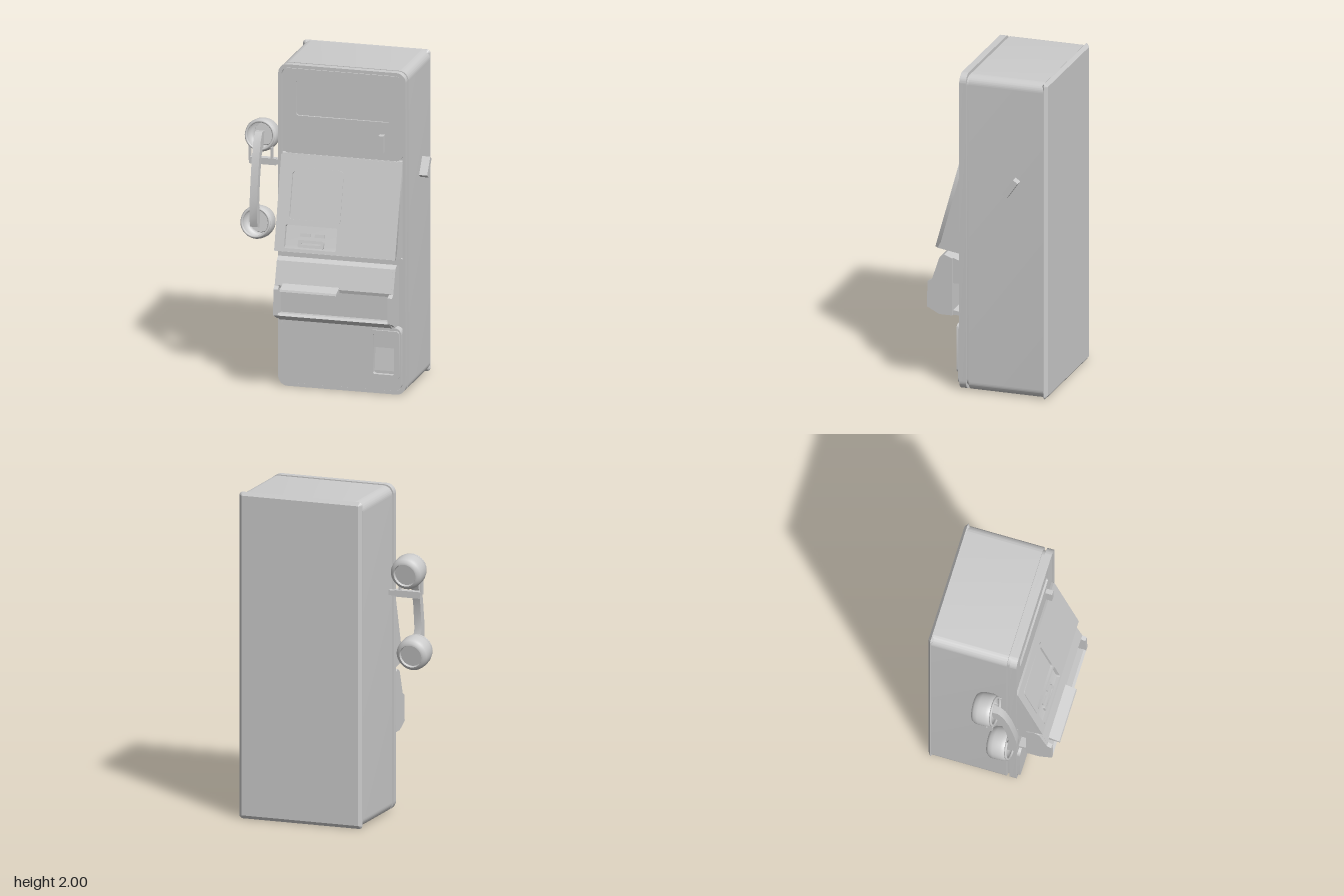
import * as THREE from 'three';
import { toCreasedNormals } from 'three/addons/utils/BufferGeometryUtils.js';

const grey = new THREE.MeshStandardMaterial({ color: 0xcccccc, side: THREE.DoubleSide });

function add(parent, name, geometry, x = 0, y = 0, z = 0) {
  const mesh = new THREE.Mesh(geometry, grey);
  mesh.name = name;
  mesh.position.set(x, y, z);
  parent.add(mesh);
  return mesh;
}

// Box given by its limits on each axis
function box(parent, name, x0, x1, y0, y1, z0, z1) {
  return add(parent, name, new THREE.BoxGeometry(x1 - x0, y1 - y0, z1 - z0),
    (x0 + x1) / 2, (y0 + y1) / 2, (z0 + z1) / 2);
}

function roundedRect(x0, x1, y0, y1, r, Type = THREE.Shape) {
  const s = new Type();
  s.moveTo(x0 + r, y0);
  s.lineTo(x1 - r, y0);
  s.absarc(x1 - r, y0 + r, r, -Math.PI / 2, 0);
  s.lineTo(x1, y1 - r);
  s.absarc(x1 - r, y1 - r, r, 0, Math.PI / 2);
  s.lineTo(x0 + r, y1);
  s.absarc(x0 + r, y1 - r, r, Math.PI / 2, Math.PI);
  s.lineTo(x0, y0 + r);
  s.absarc(x0 + r, y0 + r, r, Math.PI, Math.PI * 1.5);
  return s;
}

// Rounded plate between z0 and z1, with optional rounded holes [x0, x1, y0, y1, r]
function plate(parent, name, rect, z0, z1, holes = []) {
  const shape = roundedRect(...rect);
  for (const h of holes) shape.holes.push(roundedRect(...h, THREE.Path));
  const geo = new THREE.ExtrudeGeometry(shape, { depth: z1 - z0, bevelEnabled: false, curveSegments: 10 });
  geo.translate(0, 0, z0);
  return add(parent, name, toCreasedNormals(geo, 0.6));
}

// Side profile of [z, y] points carried along x
function profile(parent, name, points, x0, x1) {
  const shape = new THREE.Shape(points.map(p => new THREE.Vector2(...p)));
  const geo = new THREE.ExtrudeGeometry(shape, { depth: x1 - x0, bevelEnabled: false });
  geo.rotateY(-Math.PI / 2).translate(x1, 0, 0);
  return add(parent, name, toCreasedNormals(geo, 0.5));
}

function createCabinet(root) {
  const g = new THREE.Group();
  g.name = 'cabinet';
  root.add(g);
  plate(g, 'body', [-0.3, 0.49, 0.004, 1.998, 0.058], -0.382, 0.087);
  plate(g, 'spacer', [-0.285, 0.475, 0.025, 1.98, 0.05], 0.08, 0.11);
  plate(g, 'frontFrame', [-0.3, 0.49, 0.004, 2, 0.058], 0.105, 0.147,
    [[-0.28, 0.47, 0.025, 1.98, 0.045]]);
  // Back plate, chamfered towards the wall
  const back = roundedRect(-0.279, 0.469, 0.023, 1.979, 0.002);
  add(g, 'backPlate', new THREE.ExtrudeGeometry(back,
    { depth: 0.004, bevelSize: 0.021, bevelThickness: 0.016, bevelSegments: 1, curveSegments: 2 }), 0, 0, -0.389);
  // Small angled hook on the left side
  const hook = add(g, 'sideHook', new THREE.BoxGeometry(0.06, 0.12, 0.035), 0.51, 1.33, -0.19);
  hook.rotation.x = -0.6;
}

function createUpperPanel(root) {
  const g = new THREE.Group();
  g.name = 'upperPanel';
  root.add(g);
  plate(g, 'upperFace', [-0.277, 0.467, 1.45, 1.975, 0.04], 0.105, 0.138,
    [[-0.19, 0.39, 1.685, 1.905, 0.015]]);
  plate(g, 'signPanel', [-0.19, 0.39, 1.685, 1.905, 0.015], 0.105, 0.126);
  box(g, 'coinSlot', 0.33, 0.36, 1.505, 1.61, 0.13, 0.18);
}

function createConsole(root) {
  const g = new THREE.Group();
  g.name = 'console';
  root.add(g);
  profile(g, 'wedge', [[0.1, 1.45], [0.125, 1.445], [0.27, 0.92], [0.29, 0.88], [0.1, 0.85]], -0.28, 0.47);
  // Sloping cover with a screen opening and a card-reader recess
  const slope = new THREE.Group();
  slope.name = 'slopingFace';
  slope.position.set(0, 1.165, 0.2275);
  slope.rotation.x = -0.27;
  g.add(slope);
  plate(slope, 'cover', [-0.28, 0.47, -0.29, 0.29, 0.004], -0.03, 0,
    [[-0.21, 0.1, -0.1, 0.2, 0.015], [-0.22, 0.1, -0.27, -0.13, 0.01]]);
  plate(slope, 'screenBezel', [-0.23, 0.115, -0.115, 0.215, 0.03], -0.01, 0.005,
    [[-0.2, 0.09, -0.095, 0.188, 0.015]]);
  plate(slope, 'screen', [-0.215, 0.105, -0.105, 0.2, 0.01], -0.03, -0.01);
  plate(slope, 'cardSlot', [-0.14, 0.02, -0.26, -0.215, 0.01], -0.03, -0.01,
    [[-0.12, 0, -0.243, -0.232, 0.004]]);
  for (const x of [-0.13, -0.04])
    box(slope, 'readerButton', x, x + 0.06, -0.195, -0.175, -0.03, -0.014);
  plate(g, 'middlePanel', [-0.28, 0.47, 0.43, 0.85, 0.01], 0.105, 0.147);
}

function createShelf(root) {
  const g = new THREE.Group();
  g.name = 'shelf';
  root.add(g);
  // Hood above an alcove, closed by a cheek at each end
  profile(g, 'hood', [[0.14, 0.8], [0.2, 0.82], [0.25, 0.84], [0.28, 0.82], [0.328, 0.68], [0.323, 0.66], [0.14, 0.66]], -0.25, 0.45);
  for (const x of [-0.27, 0.438])
    profile(g, 'cheek', [[0.2, 0.82], [0.25, 0.84], [0.28, 0.82], [0.328, 0.675], [0.355, 0.66], [0.36, 0.5],
      [0.32, 0.48], [0.28, 0.46], [0.2, 0.46]], x, x + 0.027);
  box(g, 'alcoveBack', -0.25, 0.45, 0.47, 0.67, 0.2, 0.28);
  profile(g, 'ledge', [[0.14, 0.46], [0.3, 0.46], [0.36, 0.5], [0.345, 0.512], [0.14, 0.48]], -0.25, 0.45);
  profile(g, 'gripLip', [[0.315, 0.695], [0.39, 0.672], [0.395, 0.66], [0.32, 0.66]], -0.22, 0.13);
}

function createLowerPanel(root) {
  const g = new THREE.Group();
  g.name = 'lowerPanel';
  root.add(g);
  plate(g, 'lowerFace', [-0.277, 0.467, 0.03, 0.42, 0.04], 0.105, 0.163,
    [[0.29, 0.43, 0.12, 0.385, 0.01]]);
  // Coin return chute with its flap
  plate(g, 'returnBezel', [0.278, 0.457, 0.102, 0.402, 0.02], 0.155, 0.175,
    [[0.295, 0.425, 0.13, 0.378, 0.01]]);
  box(g, 'returnBack', 0.29, 0.43, 0.12, 0.385, 0.105, 0.115);
  box(g, 'returnHeader', 0.29, 0.43, 0.29, 0.385, 0.11, 0.15);
  const flap = box(g, 'returnFlap', 0.297, 0.423, 0.145, 0.285, 0.125, 0.135);
  flap.rotation.x = -0.12;
}

function createHandset(root) {
  const g = new THREE.Group();
  g.name = 'handset';
  g.position.set(-0.44, 1.25, 0.05);
  g.rotation.x = -0.18;
  root.add(g);
  // Hollow cups, domed at the back and open at the front
  const cupProfile = [[0, -0.055], [0.066, -0.055], [0.07, -0.07], [0.083, -0.067], [0.096, -0.05],
    [0.1, -0.025], [0.1, 0.025], [0.095, 0.045], [0.08, 0.06]].map(p => new THREE.Vector2(...p));
  const cup = toCreasedNormals(new THREE.LatheGeometry(cupProfile, 40).rotateX(Math.PI / 2), 0.7);
  for (const [name, y] of [['earpiece', 0.262], ['mouthpiece', -0.262]]) {
    add(g, name, cup, 0, y, 0);
    add(g, name + 'Rim', new THREE.TorusGeometry(0.085, 0.008, 8, 40), 0, y, 0.055);
  }
  profile(g, 'handle', [[0.04, 0.29], [0.085, 0.285], [0.11, 0.23], [0.125, 0.12], [0.128, 0], [0.125, -0.12],
    [0.11, -0.23], [0.085, -0.285], [0.04, -0.29], [0.04, -0.2], [0.075, -0.14], [0.083, 0], [0.075, 0.14],
    [0.04, 0.2]], -0.023, 0.023);
}

function createCradle(root) {
  const g = new THREE.Group();
  g.name = 'cradle';
  root.add(g);
  box(g, 'cradleArm', -0.35, -0.29, 1.345, 1.375, 0.025, 0.055);
  box(g, 'cradleBar', -0.505, -0.34, 1.34, 1.38, 0.02, 0.06);
  // Prongs holding the earpiece
  for (const x of [-0.51, -0.372])
    box(g, 'cradleProng', x, x + 0.01, 1.36, 1.45, 0.03, 0.06);
}

export function createModel() {
  const root = new THREE.Group();
  root.name = 'payphone';
  for (const build of [createCabinet, createUpperPanel, createConsole, createShelf,
    createLowerPanel, createHandset, createCradle]) build(root);
  return root;
}
